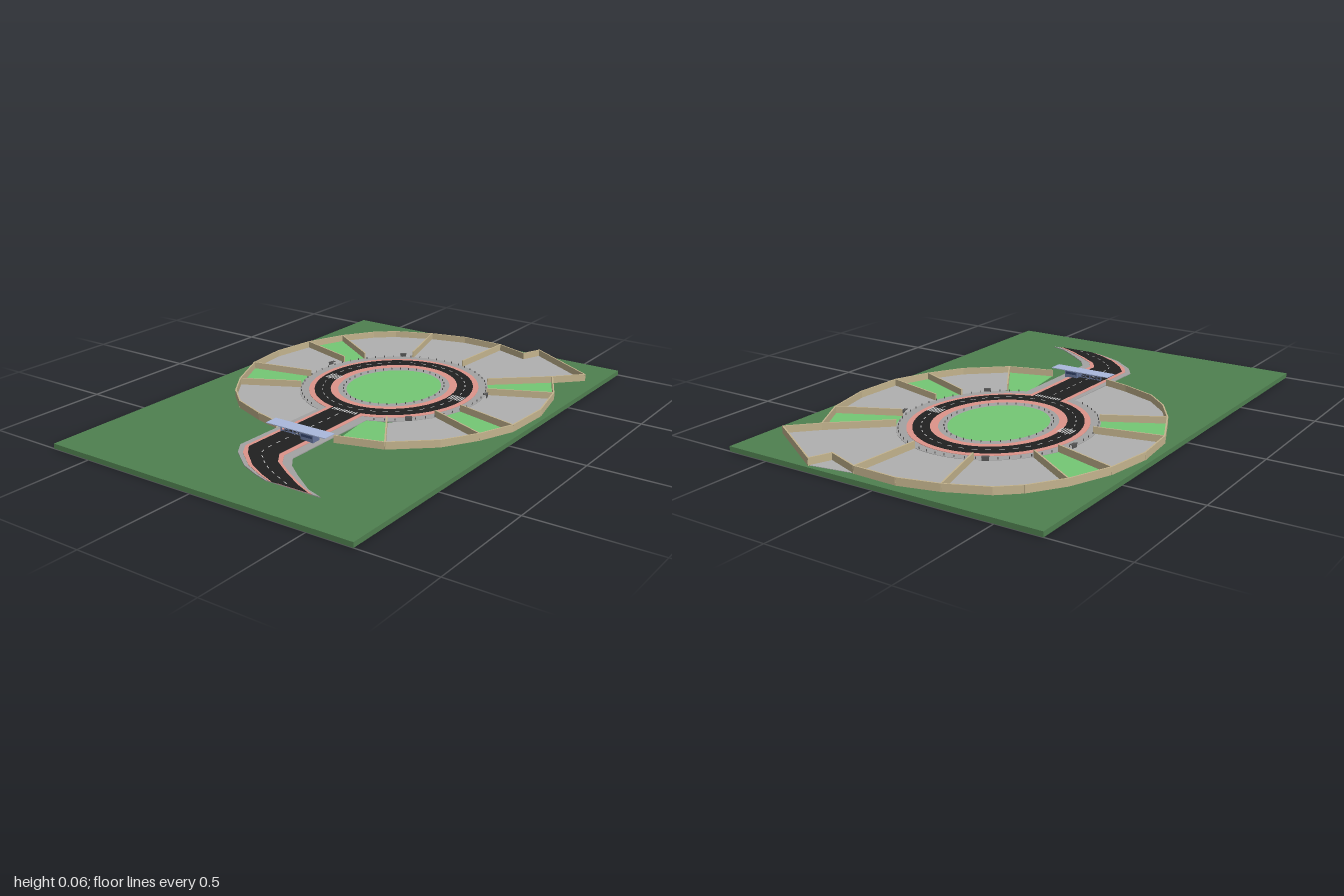
import * as THREE from 'three';

const mats = {};
const mat = (c) => (mats[c] ??= new THREE.MeshStandardMaterial({ color: c }));
const GREY = 0xb0b0b0, PAVE = 0xa3a3a3, GREEN = 0x74c874, SALMON = 0xdd948a, ROAD = 0x202020;
const WHITE = 0xd8d8d8, TAN = 0xc4b48e, BLUE = 0xaab8dc, STEEL = 0x66759c;
const CZ = -0.25; // z of the roundabout centre

export function createModel() {
  const model = new THREE.Group();

  const add = (name, geo, color, parent = model) => {
    const mesh = new THREE.Mesh(geo, mat(color));
    mesh.name = name;
    parent.add(mesh);
    return mesh;
  };
  const box = (name, color, w, h, d, x, y, z, parent = model) => {
    const m = add(name, new THREE.BoxGeometry(w, h, d), color, parent);
    m.position.set(x, y, z);
    return m;
  };
  const group = (name) => {
    const g = new THREE.Group();
    g.name = name;
    model.add(g);
    return g;
  };
  // flat slab from [x, z] outline points
  const slab = (name, color, pts, y0, y1, hole, parent) => {
    const toV = (p) => p.map(([x, z]) => new THREE.Vector2(x, -z));
    const shape = new THREE.Shape(toV(pts));
    if (hole) shape.holes.push(new THREE.Path(toV(hole)));
    const geo = new THREE.ExtrudeGeometry(shape, { depth: y1 - y0, bevelEnabled: false });
    geo.rotateX(-Math.PI / 2).translate(0, y0, 0);
    return add(name, geo, color, parent);
  };
  const oval = (rx, rz, n = 48) => Array.from({ length: n }, (_, i) => {
    const a = (i / n) * Math.PI * 2;
    return [rx * Math.cos(a), CZ + rz * Math.sin(a)];
  });

  box('ground', 0x4f8050, 1.37, 0.02, 2, 0, 0.01, 0);

  // Plots: [colour, outer points, inner start]; each ends where the next begins
  const plots = [
    [GREY, [[-0.11, 0.4], [-0.22, 0.37], [-0.37, 0.31], [-0.47, 0.22]], [-0.1, 0.12]],
    [GREEN, [[-0.55, 0.1]], [-0.32, -0.02]],
    [GREY, [[-0.64, -0.1], [-0.66, -0.29]], [-0.37, -0.155]],
    [GREEN, [[-0.63, -0.48]], [-0.365, -0.395]],
    [GREY, [[-0.56, -0.65], [-0.47, -0.78], [-0.39, -0.85]], [-0.32, -0.49]],
    [GREY, [[-0.23, -0.92], [-0.07, -0.96]], [-0.15, -0.63]],
    [GREY, [[0.12, -0.955], [0.305, -0.985], [0.62, -0.79]], [0.1, -0.65]],
    [GREEN, [[0.52, -0.685]], [0.31, -0.5]],
    [GREY, [[0.615, -0.505], [0.66, -0.3]], [0.37, -0.39]],
    [GREEN, [[0.65, -0.09]], [0.38, -0.16]],
    [GREY, [[0.59, 0.06], [0.505, 0.2]], [0.33, -0.05]],
    [GREEN, [[0.35, 0.335]], [0.21, 0.115]],
    [null, [[0.16, 0.39]], [0.12, 0.12]],
  ];
  const plotGroup = group('plots');
  plots.slice(0, -1).forEach(([color, outer, inner], i) => {
    const next = plots[i + 1];
    slab(color === GREEN ? 'greenPlot' : 'pavedPlot', color,
      [...outer, next[1][0], next[2], inner], 0.018, 0.022, null, plotGroup);
  });

  // Walls: outer boundary with a stepped corner, and dividers between plots
  const walls = group('walls');
  const wall = (name, [ax, az], [bx, bz]) => {
    const len = Math.hypot(bx - ax, bz - az);
    const m = box(name, TAN, len + 0.005, 0.03, 0.006, (ax + bx) / 2, 0.035, (az + bz) / 2, walls);
    m.rotation.y = -Math.atan2(bz - az, bx - ax);
  };
  const rim = plots.flatMap((p) => p[1]);
  const corner = rim.findIndex(([x]) => x === 0.305);
  rim.splice(corner, 0, [0.27, -0.9]);
  rim.slice(1).forEach((p, i) => wall('outerWall', rim[i], p));
  plots.slice(1, -1).forEach(([, outer, inner]) => wall('dividerWall', outer[0], inner));

  // Roundabout: pavement, cycle lane and carriageway in thin layers
  slab('ringPavement', PAVE, oval(0.388, 0.414), 0.018, 0.0235, oval(0.19, 0.22));
  slab('ringCycleLane', SALMON, oval(0.348, 0.376), 0.02, 0.025, oval(0.225, 0.255));
  slab('ringRoad', ROAD, oval(0.325, 0.352), 0.02, 0.0265, oval(0.257, 0.286));
  slab('centralLawn', GREEN, oval(0.195, 0.225), 0.018, 0.0225);

  // Entry road: straight, then sweeping to the right
  const strip = (name, color, left, right, y) =>
    slab(name, color, [...left, ...right.slice().reverse()], 0.018, y);
  strip('entryPavement', PAVE,
    [[-0.1, 0.08], [-0.11, 0.61], [-0.07, 0.67], [0.03, 0.75], [0.11, 0.785], [0.17, 0.805]],
    [[0.13, 0.08], [0.13, 0.6], [0.17, 0.655], [0.24, 0.71], [0.34, 0.78], [0.41, 0.805]], 0.0235);
  strip('entryCycleLane', SALMON,
    [[-0.08, 0.08], [-0.085, 0.61], [-0.05, 0.665], [0.04, 0.74], [0.12, 0.78], [0.185, 0.805]],
    [[0.09, 0.08], [0.09, 0.6], [0.13, 0.66], [0.21, 0.715], [0.31, 0.775], [0.375, 0.805]], 0.025);
  strip('entryRoad', ROAD,
    [[-0.06, 0.06], [-0.068, 0.61], [-0.03, 0.66], [0.05, 0.73], [0.13, 0.775], [0.2, 0.805]],
    [[0.07, 0.06], [0.068, 0.6], [0.11, 0.66], [0.19, 0.715], [0.29, 0.775], [0.355, 0.805]], 0.0265);

  // Dashed centre lines
  const marks = group('roadMarkings');
  const dash = (curve, n) => {
    for (let i = 0; i < n; i++) {
      const p = curve.getPointAt((i + 0.5) / n), t = curve.getTangentAt((i + 0.5) / n);
      const m = box('laneDash', WHITE, 0.022, 0.001, 0.003, p.x, 0.0268, p.y, marks);
      m.rotation.y = -Math.atan2(t.y, t.x);
    }
  };
  dash(new THREE.EllipseCurve(0, CZ, 0.291, 0.319), 38);
  dash(new THREE.SplineCurve([[0.005, 0.14], [0, 0.4], [0, 0.6], [0.05, 0.67], [0.13, 0.73], [0.27, 0.8]]
    .map(([x, z]) => new THREE.Vector2(x, z))), 16);

  // Zebra crossings
  for (const [x, z, w, d, alongX] of [[0.293, -0.27, 0.064, 0.05, 0], [-0.275, -0.2, 0.064, 0.05, 0],
    [0.005, 0.112, 0.12, 0.022, 1]]) {
    const n = alongX ? 10 : 6;
    for (let i = 0; i < n; i++) {
      const o = (i + 0.5) / n - 0.5;
      if (alongX) box('crossingStripe', WHITE, w / n / 2, 0.001, d, x + o * w, 0.0268, z, marks);
      else box('crossingStripe', WHITE, w / n / 2, 0.001, d, x + o * w, 0.0268, z, marks);
    }
  }

  // Small bollards around the pavements
  const bollards = group('bollards');
  const post = new THREE.CylinderGeometry(0.002, 0.002, 0.008, 6);
  for (const [rx, rz, n] of [[0.38, 0.406, 60], [0.203, 0.233, 36]]) {
    for (const [x, z] of oval(rx, rz, n)) {
      if (z > 0.1 && Math.abs(x) < 0.13) continue;
      add('bollard', post, 0x5a5a5a, bollards).position.set(x, 0.0275, z);
    }
  }

  // Shelters beside the ring
  const shelters = group('shelters');
  for (const [x, z] of [[-0.19, -0.61], [-0.385, -0.33], [0.38, -0.36], [0.265, 0.045]]) {
    const s = new THREE.Group();
    s.name = 'shelter';
    s.position.set(x, 0, z);
    s.rotation.y = Math.atan2(x, z - CZ);
    shelters.add(s);
    box('shelterBack', 0x555555, 0.026, 0.014, 0.002, 0, 0.03, 0.006, s);
    box('shelterRoof', 0x555555, 0.028, 0.002, 0.014, 0, 0.037, 0, s);
  }

  // Entrance gate: canopy, booth, posts and lattice barriers
  const gate = group('gate');
  box('gateCanopy', BLUE, 0.28, 0.003, 0.06, 0.025, 0.0585, 0.425, gate);
  box('gateBooth', STEEL, 0.06, 0.034, 0.04, 0.075, 0.04, 0.428, gate);
  box('boothWindow', 0x34436a, 0.05, 0.01, 0.042, 0.075, 0.044, 0.428, gate);
  for (const x of [-0.065, -0.01, 0.045])
    box('gatePost', STEEL, 0.004, 0.034, 0.004, x, 0.041, 0.425, gate);
  for (const x of [-0.0375, 0.0175]) {
    for (const y of [0.03, 0.046]) box('barrierRail', STEEL, 0.055, 0.002, 0.003, x, y, 0.425, gate);
    for (const s of [-1, 1])
      box('barrierBrace', STEEL, 0.055, 0.002, 0.002, x, 0.038, 0.425, gate).rotation.z = s * 0.28;
  }

  return model;
}
